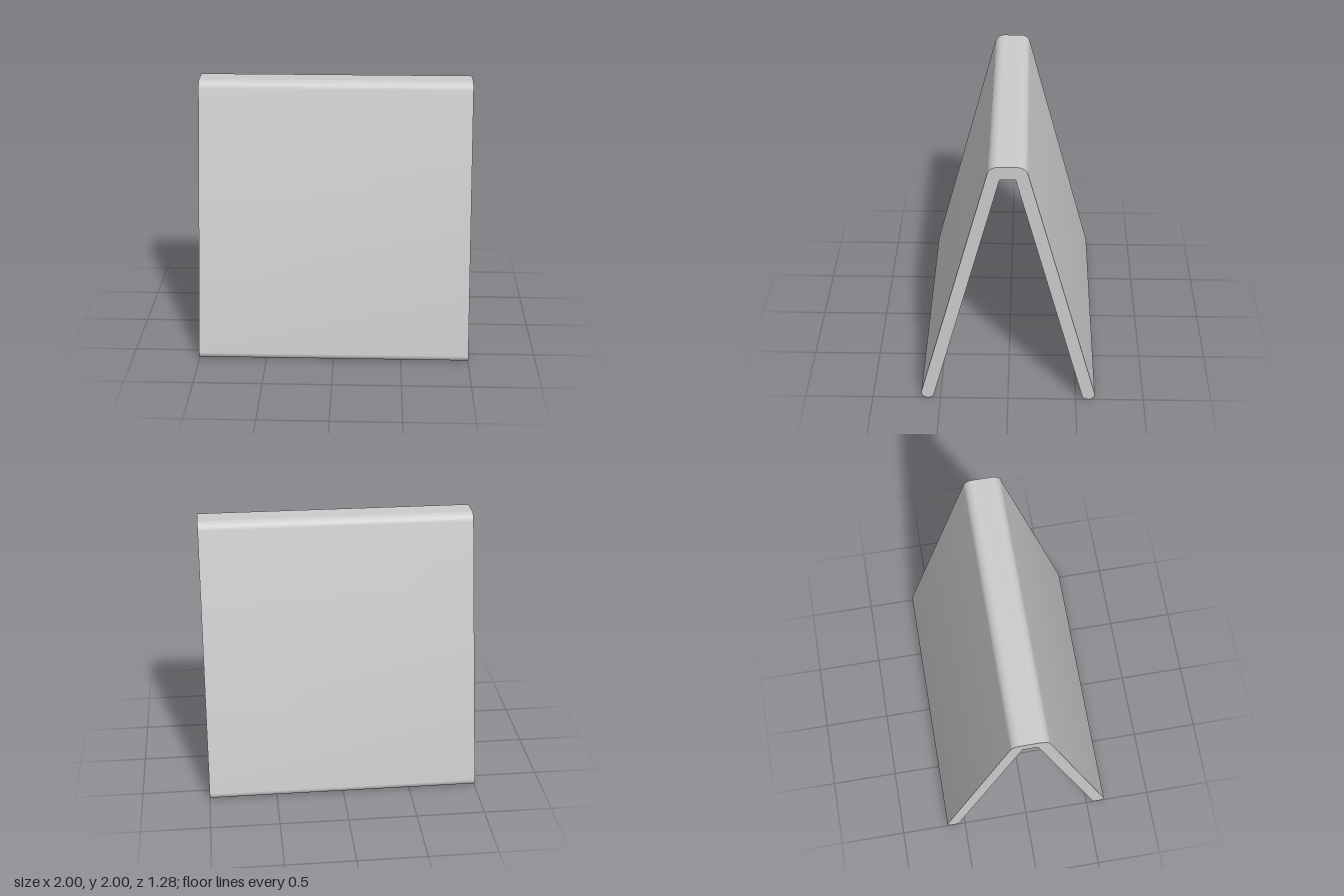
import * as THREE from 'three';
import { toCreasedNormals } from 'three/addons/utils/BufferGeometryUtils.js';

export function createModel() {
  const group = new THREE.Group();
  group.name = 'tentStand';

  const lean = 0.2586;               // lean of each panel from vertical
  const footZ = 0.5925, footR = 0.0475;
  const bendZ = 0.067, bendR = 0.07;
  const innerZ = 0.053, innerY = 1.905;

  // Side profile: rounded feet, rounded outer bends, sharp inner corners
  const profile = new THREE.Shape();
  profile.absarc(footZ, footR, footR, Math.PI + lean, 2 * Math.PI + lean, false);
  profile.absarc(bendZ, 2 - bendR, bendR, lean, Math.PI / 2, false);
  profile.absarc(-bendZ, 2 - bendR, bendR, Math.PI / 2, Math.PI - lean, false);
  profile.absarc(-footZ, footR, footR, Math.PI - lean, 2 * Math.PI - lean, false);
  profile.lineTo(-innerZ, innerY);
  profile.lineTo(innerZ, innerY);
  profile.closePath();

  // Folded sheet, extruded across the full width
  const geometry = new THREE.ExtrudeGeometry(profile, { depth: 2, bevelEnabled: false, curveSegments: 16 });
  geometry.translate(0, 0, -1);
  geometry.rotateY(-Math.PI / 2);

  const sheet = new THREE.Mesh(
    toCreasedNormals(geometry, 0.6),
    new THREE.MeshStandardMaterial({ color: 0xcccccc })
  );
  sheet.name = 'foldedSheet';
  group.add(sheet);
  return group;
}
